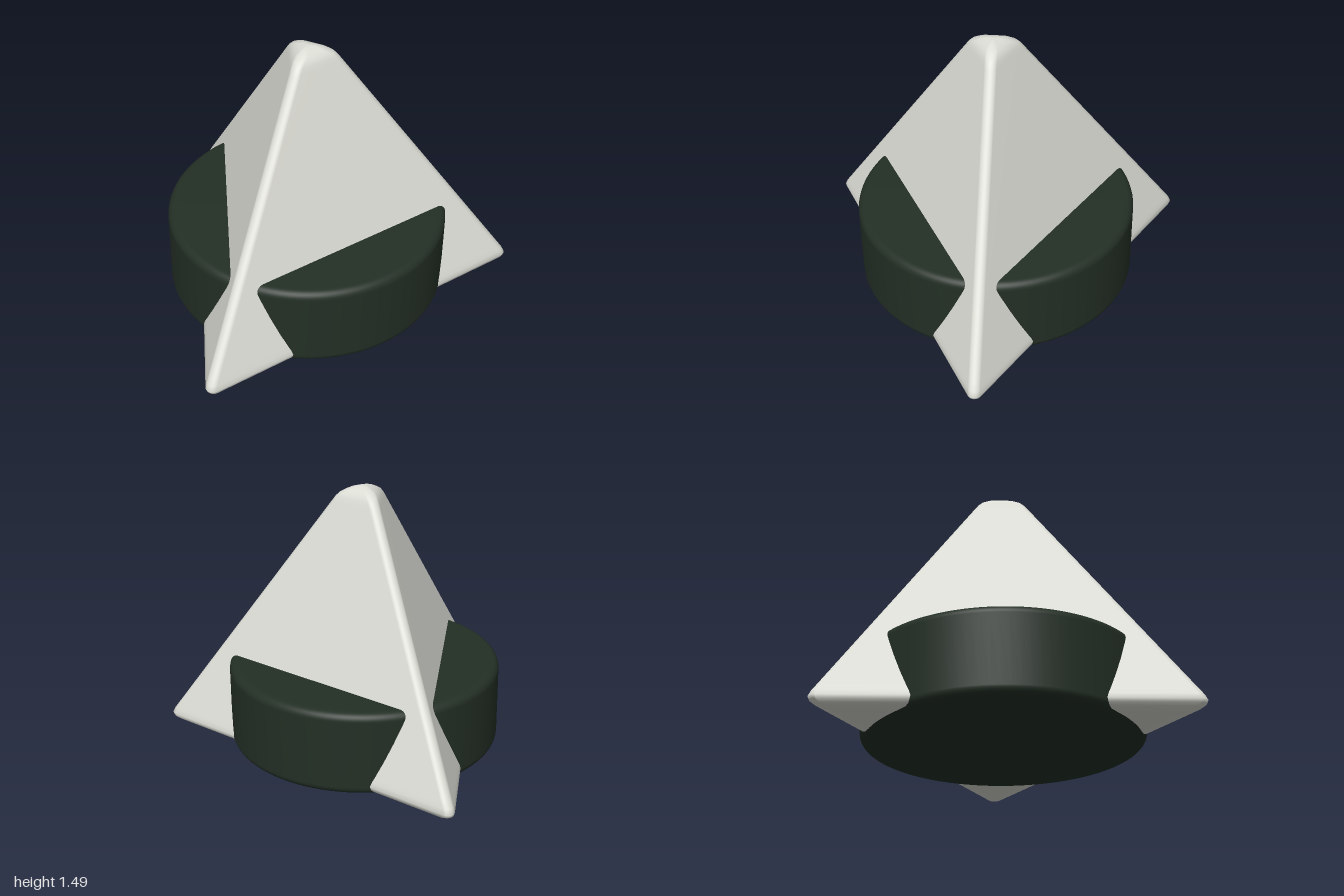
import * as THREE from 'three';

const CENTER_Z = 0.19;

// Rounded equilateral triangle outline with inradius d, one corner pointing back.
function triangleRing(d, y, steps) {
  const r = Math.min(0.037, d * 0.55);
  const points = [];
  for (let c = 0; c < 3; c++) {
    const corner = Math.PI / 3 + (c * 2 * Math.PI) / 3;
    const reach = 2 * (d - r);
    for (let s = 0; s <= steps; s++) {
      const a = corner + (s / steps - 0.5) * (2 * Math.PI / 3);
      points.push(
        reach * Math.sin(corner) + r * Math.sin(a),
        y,
        reach * Math.cos(corner) + r * Math.cos(a)
      );
    }
  }
  return points;
}

// Skin the stacked triangle outlines into a closed solid.
function pyramidGeometry() {
  const steps = 8;
  const count = 3 * (steps + 1);
  // [inradius, height] from the underside to the tip
  const profile = [
    [0.3, 0.004], [0.5, 0.006], [0.545, 0.009], [0.57, 0.018], [0.585, 0.033], [0.59, 0.052],
    [0.583, 0.08], [0.572, 0.11], [0.105, 1.393], [0.095, 1.42], [0.084, 1.441],
    [0.067, 1.459], [0.045, 1.473], [0.022, 1.482],
  ];
  const positions = profile.flatMap(([d, y]) => triangleRing(d, y, steps));
  const bottom = profile.length * count;
  const tip = bottom + 1;
  positions.push(0, 0.004, 0, 0, 1.485, 0);

  const index = [];
  const last = (profile.length - 1) * count;
  for (let i = 0; i < count; i++) {
    const n = (i + 1) % count;
    for (let j = 0; j < profile.length - 1; j++) {
      const a = j * count, b = a + count;
      index.push(a + i, a + n, b + n, a + i, b + n, b + i);
    }
    index.push(bottom, n, i, tip, last + i, last + n);
  }
  const geometry = new THREE.BufferGeometry();
  geometry.setAttribute('position', new THREE.Float32BufferAttribute(positions, 3));
  geometry.setIndex(index);
  geometry.computeVertexNormals();
  return geometry;
}

// Disc with rounded rims, turned from its half section.
function discGeometry(radius, height, bevel) {
  const profile = [new THREE.Vector2(0, 0), new THREE.Vector2(radius - bevel - 0.01, 0)];
  const arc = (cy, start) => {
    for (let s = 0; s <= 8; s++) {
      const a = start + (s / 8) * (Math.PI / 2);
      profile.push(new THREE.Vector2(radius - bevel + bevel * Math.cos(a), cy + bevel * Math.sin(a)));
    }
  };
  arc(bevel, -Math.PI / 2);
  arc(height - bevel, 0);
  profile.push(new THREE.Vector2(radius - bevel - 0.01, height), new THREE.Vector2(0, height));
  return new THREE.LatheGeometry(profile, 96);
}

export function createModel() {
  const ivory = new THREE.MeshStandardMaterial({ color: 0xdcddd5 });
  ivory.name = 'ivory';
  const darkGreen = new THREE.MeshStandardMaterial({ color: 0x232f25 });
  darkGreen.name = 'dark green';

  const model = new THREE.Group();
  model.name = 'pyramidWithDisc';

  const pyramid = new THREE.Mesh(pyramidGeometry(), ivory);
  pyramid.name = 'pyramid';
  const disc = new THREE.Mesh(discGeometry(0.765, 0.475, 0.045), darkGreen);
  disc.name = 'disc';

  for (const part of [pyramid, disc]) {
    part.position.z = CENTER_Z;
    model.add(part);
  }
  return model;
}
